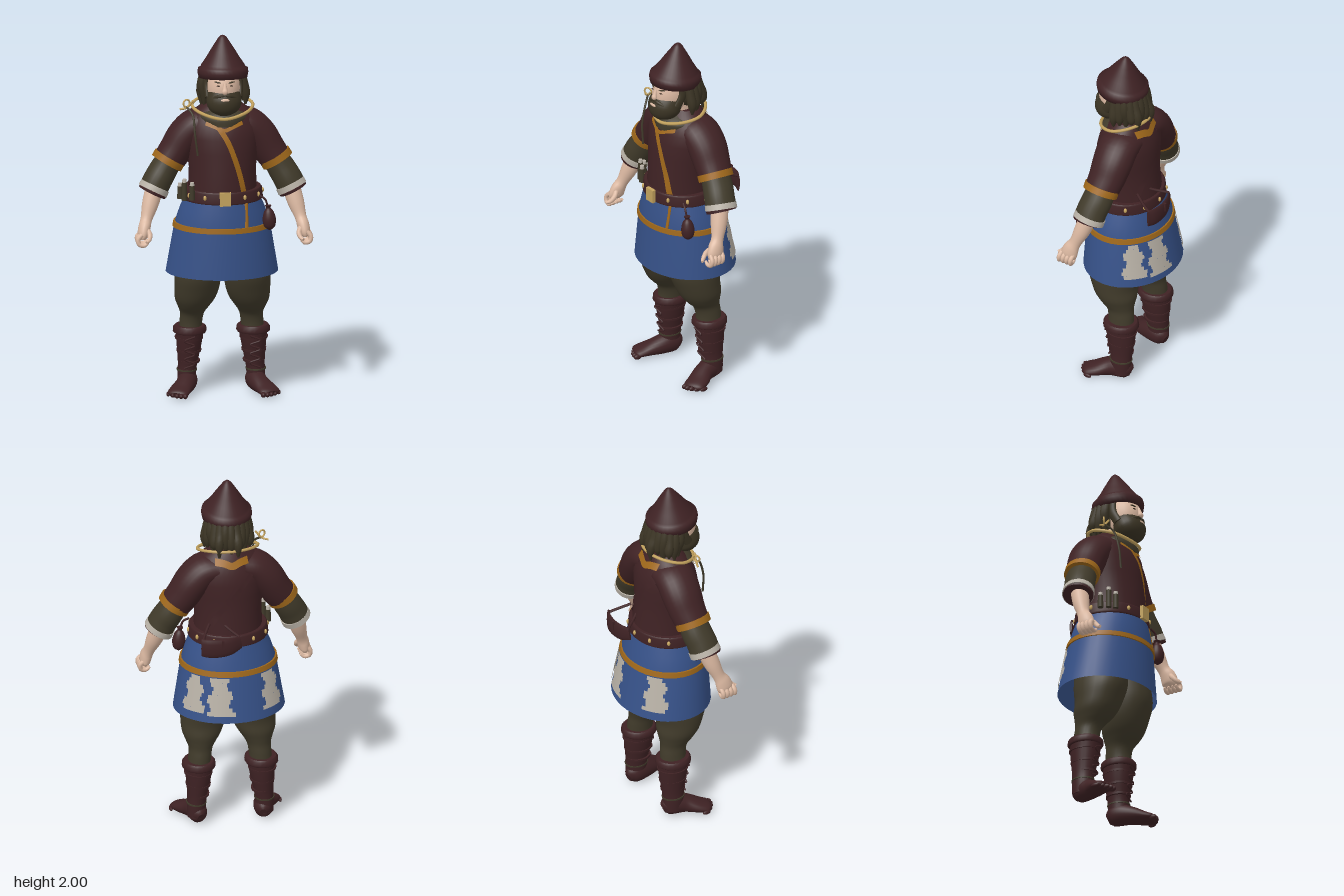
import * as THREE from 'three';

const mat = (name, color, side = THREE.FrontSide) => Object.assign(new THREE.MeshStandardMaterial({ color, side }), { name });
const V = (x, y, z) => new THREE.Vector3(x, y, z);
const UP = V(0, 1, 0), FWD = V(0, 0, 1);

// Sweeps ellipses along a path; each section is [x, y, z, ru, rv]. With level, the rings stay horizontal.
function loft(sections, { steps = 4, seg = 24, ref = FWD, caps = true, level = false } = {}) {
  const centre = new THREE.CatmullRomCurve3(sections.map(s => V(s[0], s[1], s[2])), false, 'catmullrom');
  const radius = new THREE.CatmullRomCurve3(sections.map(s => V(s[3], s[4] ?? s[3], 0)), false, 'catmullrom');
  const n = (sections.length - 1) * steps, pos = [], idx = [];
  const C = [], R = [];
  for (let i = 0; i <= n; i++) { C.push(centre.getPoint(i / n)); R.push(radius.getPoint(i / n)); }
  for (let i = 0; i <= n; i++) {
    const t = C[Math.min(i + 1, n)].clone().sub(C[Math.max(i - 1, 0)]).normalize();
    if (level) t.set(0, Math.sign(t.y), 0);
    const u = t.clone().cross(ref).normalize(), v = u.clone().cross(t);
    for (let j = 0; j < seg; j++) {
      const a = j / seg * Math.PI * 2;
      const p = C[i].clone().addScaledVector(u, Math.cos(a) * R[i].x).addScaledVector(v, Math.sin(a) * R[i].y);
      pos.push(p.x, p.y, p.z);
      if (i < n) {
        const k = i * seg, j2 = (j + 1) % seg;
        idx.push(k + j, k + seg + j, k + j2, k + j2, k + seg + j, k + seg + j2);
      }
    }
  }
  if (caps) for (const [i, flip] of [[0, false], [n, true]]) {
    const base = pos.length / 3;
    pos.push(C[i].x, C[i].y, C[i].z);
    for (let j = 0; j < seg; j++) pos.push(...pos.slice((i * seg + j) * 3, (i * seg + j) * 3 + 3));
    for (let j = 0; j < seg; j++) {
      const a = base + 1 + j, b = base + 1 + (j + 1) % seg;
      idx.push(base, flip ? b : a, flip ? a : b);
    }
  }
  return surface(pos, idx);
}
function surface(pos, idx) {
  const g = new THREE.BufferGeometry();
  g.setAttribute('position', new THREE.Float32BufferAttribute(pos, 3));
  g.setIndex(idx);
  g.computeVertexNormals();
  return g;
}
const tube = (pts, r, closed = false) =>
  new THREE.TubeGeometry(new THREE.CatmullRomCurve3(pts.map(p => V(...p)), closed), pts.length * 6, r, 6, closed);

const TORSO = [[0, 1.1, .03, .185, .18], [0, 1.18, .032, .185, .178], [0, 1.27, .034, .182, .168], [0, 1.36, .032, .195, .164],
  [0, 1.44, .028, .205, .16], [0, 1.5, .026, .205, .147], [0, 1.55, .024, .18, .126], [0, 1.59, .022, .14, .103], [0, 1.62, .02, .1, .08]];
// Depth of the tunic at a given x and y, on its front (1) or back (-1).
function tunicZ(x, y, side) {
  const i = Math.max(0, Math.min(TORSO.length - 2, TORSO.findIndex(s => s[1] > y) - 1));
  const f = (y - TORSO[i][1]) / (TORSO[i + 1][1] - TORSO[i][1]);
  const [zc, rx, rz] = [2, 3, 4].map(k => TORSO[i][k] + (TORSO[i + 1][k] - TORSO[i][k]) * f);
  return zc + side * (rz * Math.sqrt(Math.max(0, 1 - (x / rx) ** 2)) + .007);
}
// Flat ribbon laid on the tunic through [x, y] points.
function ribbon(points, w, side) {
  const c = new THREE.CatmullRomCurve3(points.map(p => V(p[0], p[1], 0))), n = 30, pos = [], idx = [];
  for (let i = 0; i <= n; i++) {
    const p = c.getPoint(i / n), t = c.getTangent(i / n);
    for (const k of [-w, w]) {
      const x = p.x - t.y * k, y = p.y + t.x * k;
      pos.push(x, y, tunicZ(x, y, side));
    }
    if (i < n) idx.push(2 * i, 2 * i + 1, 2 * i + 2, 2 * i + 1, 2 * i + 3, 2 * i + 2);
  }
  // Wind the faces so that they look away from the body.
  const dir = Math.sign(points.at(-1)[0] - points[0][0]);
  if (side * dir > 0) idx.reverse();
  return surface(pos, idx);
}
// Ragged patch on the skirt around an angle measured from the back, lifted off the cloth by a small gap.
function patch(angle, half, y0, y1, seed, gap = .007) {
  const pos = [], idx = [], rows = 9, cols = 8, m = cols + 1;
  for (let r = 0; r < rows; r++) {
    const jag = k => Math.sin(r * 1.4 + seed * k) * .22 - r / rows * .35 + .15;
    const a0 = angle - half * (.85 + jag(1.7)), a1 = angle + half * (.85 + jag(3.1));
    for (let e = 0; e < 2; e++) {
      const y = y0 + (y1 - y0) * (r + e) / rows, h = y - .68;
      for (let c = 0; c <= cols; c++) {
        const a = a0 + (a1 - a0) * c / cols;
        pos.push(Math.sin(a) * (.305 + gap - .167 * h), y, .074 * h - Math.cos(a) * (.255 + gap - .122 * h));
      }
    }
    const b = r * 2 * m;
    for (let c = 0; c < cols; c++) idx.push(b + c, b + m + c, b + c + 1, b + c + 1, b + m + c, b + m + c + 1);
  }
  return surface(pos, idx);
}

export function createModel() {
  const D = THREE.DoubleSide, root = new THREE.Group();
  const maroon = mat('maroon', 0x3f2224, D), blue = mat('blue', 0x365188, D), gold = mat('ochre trim', 0x9e671a, D),
    brass = mat('brass', 0xc4a35e), skin = mat('skin', 0xdcb9a2), olive = mat('olive cloth', 0x403a2a, D),
    hair = mat('hair', 0x3b3424), cream = mat('cream', 0xb8b1a6, D), dark = mat('dark', 0x4a382c);
  const add = (name, geo, m, p = [0, 0, 0], s = [1, 1, 1], r = [0, 0, 0]) => {
    const mesh = new THREE.Mesh(geo, m);
    mesh.name = name;
    mesh.position.set(...p); mesh.scale.set(...s); mesh.rotation.set(...r);
    root.add(mesh);
  };
  const ball = new THREE.SphereGeometry(1, 24, 16);

  // Tunic, skirt and trims
  add('tunic', loft(TORSO, { steps: 1, seg: 40, level: true }), maroon);
  const flat = { steps: 1, seg: 36, level: true };
  add('skirt', loft([[0, .68, 0, .305, .255], [0, .95, .02, .26, .222], [0, 1.04, .026, .23, .207], [0, 1.12, .03, .195, .19]], { ...flat, caps: false }), blue);
  add('skirtBand', loft([[0, .936, .019, .27, .232], [0, .964, .021, .265, .227]], flat), gold);
  add('skirtStrip', loft([[.115, .95, .217, .013, .006], [.112, 1.1, .19, .013, .006]], { steps: 1, seg: 8 }), gold);
  [[.32, .24, .72, .93, 1], [.88, .23, .73, .93, 4], [-.78, .25, .73, .93, 7]].forEach(p => add('skirtPatch', patch(...p), cream));
  add('liningPatch', patch(-2.25, .4, .685, .84, 2, -.008), cream);
  add('chestStrip', ribbon([[-.03, 1.51], [.015, 1.44], [.055, 1.34], [.085, 1.24], [.105, 1.15]], .014, 1), gold);
  add('backStrap', ribbon([[-.12, 1.52], [-.02, 1.4], [.08, 1.28], [.14, 1.17]], .014, -1), maroon);
  add('collarTrim', ribbon([[-.1, 1.532], [-.05, 1.515], [0, 1.497], [.05, 1.515], [.1, 1.532]], .01, 1), gold);
  add('backCollarTrim', ribbon([[-.09, 1.575], [-.045, 1.57], [0, 1.555], [.045, 1.57], [.09, 1.575]], .018, -1), gold);
  add('scarf', loft([[0, 1.515, .052, .12, .125], [0, 1.55, .048, .142, .126], [0, 1.575, .046, .13, .115], [0, 1.6, .045, .088, .083]], { level: true }), olive);
  add('neckRing', tube([[0, 1.635, -.09], [.11, 1.63, -.055], [.165, 1.61, .03], [.125, 1.585, .125], [0, 1.56, .178],
    [-.125, 1.585, .125], [-.165, 1.61, .03], [-.11, 1.63, -.055]], .009, true), brass);

  // Belt with buckle, studs, pouch, vials and rear sheath
  add('belt', loft([[0, 1.092, .03, .215, .195], [0, 1.1, .03, .22, .2], [0, 1.15, .03, .214, .195], [0, 1.158, .03, .208, .19]], { steps: 1, seg: 40 }), maroon);
  add('buckle', new THREE.BoxGeometry(.06, .075, .02), brass, [0, 1.128, .235]);
  for (let i = 1; i < 12; i++) {
    const a = i / 12 * Math.PI * 2;
    add('beltStud', ball, brass, [Math.sin(a) * .217, 1.128, .03 + Math.cos(a) * .198], [.009, .014, .009]);
  }
  add('pouch', loft([[.245, .94, .17, .008], [.245, .96, .17, .03], [.243, 1.0, .17, .036], [.24, 1.04, .17, .026], [.238, 1.06, .17, .012], [.237, 1.075, .17, .018]]), maroon);
  add('pouchCord', tube([[.19, 1.13, .16], [.22, 1.11, .17], [.237, 1.06, .17]], .006), maroon);
  [[-.175, .16, 1.15, .04], [-.215, .14, 1.155, .05], [-.235, .1, 1.14, .035]].forEach(([x, z, y, h]) => {
    add('vial', new THREE.CylinderGeometry(.014, .016, h * 2, 12), olive, [x, y, z]);
    add('vialCap', new THREE.CylinderGeometry(.011, .013, .02, 12), cream, [x, y + h + .008, z]);
  });
  add('rearSheath', loft([[-.025, 1.15, -.215, .007, .038], [.03, 1.14, -.236, .011, .05], [.09, 1.135, -.243, .012, .054], [.15, 1.135, -.235, .012, .055], [.19, 1.135, -.215, .01, .052]], { ref: UP, seg: 12 }), maroon);
  add('sheathKnob', new THREE.BoxGeometry(.012, .05, .02), maroon, [.08, 1.16, -.25]);
  add('sheathStrap', tube([[-.015, 1.185, -.218], [.02, 1.2, -.165], [.055, 1.22, -.115]], .008), maroon);
  add('sheathStrap', tube([[.182, 1.175, -.215], [.16, 1.195, -.165], [.13, 1.22, -.11]], .008), maroon);

  // Shoulder clasp with hanging cord
  add('shoulderClasp', new THREE.TorusGeometry(.02, .005, 8, 20), brass, [-.2, 1.635, .1], [1, 1, 1], [0, .5, 0]);
  add('claspPin', tube([[-.235, 1.6, .09], [-.2, 1.61, .1], [-.165, 1.65, .11]], .006), brass);
  add('hangingCord', tube([[-.2, 1.615, .1], [-.17, 1.58, .14], [-.16, 1.48, .17], [-.145, 1.36, .175]], .006), olive);

  // Head, beard and hair
  add('neck', loft([[0, 1.55, .03, .07], [0, 1.7, .06, .07]]), skin);
  add('face', ball, skin, [0, 1.72, .1], [.09, .13, .106]);
  add('nose', loft([[0, 1.765, .198, .008], [0, 1.735, .206, .013], [0, 1.718, .212, .017, .014], [0, 1.71, .205, .008]], { seg: 12 }), skin);
  add('beard', loft([[0, 1.578, .165, .025, .03], [0, 1.6, .16, .07, .065], [0, 1.635, .148, .093, .085], [0, 1.665, .132, .094, .086], [0, 1.69, .11, .088, .078]]), hair);
  add('lips', ball, skin, [0, 1.674, .214], [.03, .012, .012]);
  for (const s of [-1, 1]) {
    add('moustache', loft([[s * .002, 1.7, .212, .007], [s * .03, 1.696, .207, .01], [s * .06, 1.68, .188, .009], [s * .07, 1.665, .18, .003]], { seg: 10 }), hair);
    add('eye', ball, dark, [s * .034, 1.75, .193], [.011, .004, .006]);
    add('eyebrow', ball, hair, [s * .036, 1.768, .187], [.021, .004, .008], [0, s * .3, s * .12]);
    add('ear', ball, skin, [s * .09, 1.73, .085], [.012, .03, .02]);
    add('sideburn', loft([[s * .09, 1.79, .085, .014, .025], [s * .093, 1.73, .09, .014, .025], [s * .088, 1.67, .12, .014, .025]]), hair);
  }
  add('hairBase', ball, hair, [0, 1.72, .025], [.1, .11, .105]);
  for (let i = 0; i < 13; i++) {
    const a = (84 + i * 16) * Math.PI / 180, sx = Math.sin(a), cz = Math.cos(a);
    const low = 1.612 + .022 * Math.sin(i * 2.6), flare = .113 + .014 * Math.sin(i * 1.9 + 1);
    add('hairLock', loft([[sx * .095, 1.8, .045 + cz * .09, .026], [sx * .112, 1.73, .04 + cz * .106, .027],
      [sx * flare, 1.67, .035 + cz * flare, .025], [sx * flare, low, .035 + cz * flare, .006]], { seg: 10 }), hair);
  }

  // Conical hat with rolled brim
  const hat = [[.112, -.025], [.132, -.028], [.138, 0], [.135, .022], [.122, .028], [.116, .042], [.09, .08], [.069, .115], [.047, .15], [.023, .187], [.01, .199], [0, .201]];
  add('hat', new THREE.LatheGeometry(hat.map(p => new THREE.Vector2(...p)), 36), maroon, [0, 1.8, .068], [1, 1, 1.05], [-.1, 0, 0]);

  // Arms and legs, mirrored
  for (const s of [1, -1]) {
    const limb = (name, secs, m, o) => add(name, loft(secs.map(([x, ...rest]) => [s * x, ...rest]), o), m);
    limb('upperSleeve', [[.07, 1.515, .01, .075, .115], [.14, 1.495, .008, .09, .115], [.2, 1.435, .005, .095, .112], [.25, 1.358, .01, .09, .103], [.297, 1.29, .02, .085, .094]], maroon);
    limb('sleeveBand', [[.283, 1.318, .018, .09, .1], [.302, 1.286, .021, .09, .099]], gold, { steps: 1 });
    limb('lowerSleeve', [[.28, 1.315, .018, .07, .08], [.32, 1.25, .025, .076, .085], [.35, 1.2, .037, .078, .085], [.372, 1.157, .043, .079, .085]], olive);
    limb('cuff', [[.365, 1.166, .041, .082, .088], [.379, 1.138, .046, .084, .089]], cream, { steps: 1 });
    limb('cuffLining', [[.377, 1.141, .046, .08, .086], [.383, 1.129, .047, .078, .084]], maroon, { steps: 1 });
    limb('forearm', [[.365, 1.17, .045, .05], [.395, 1.07, .075, .045], [.418, .995, .103, .032, .034], [.43, .955, .122, .033, .044], [.438, .915, .133, .03, .048], [.44, .893, .135, .016, .04]], skin);
    for (let i = 0; i < 4; i++) {
      const z = .1 + i * .024;
      limb('finger', [[.447, .925, z, .012], [.468, .9, z + .004, .013], [.462, .872, z + .008, .012], [.435, .866, z + .01, .011], [.415, .882, z + .01, .007]], skin, { seg: 10 });
    }
    limb('thumb', [[.425, .955, .14, .015], [.405, .925, .168, .014], [.41, .9, .192, .012], [.425, .89, .212, .008]], skin, { seg: 10 });

    limb('trouserLeg', [[.095, .92, .02, .1, .15], [.12, .76, .035, .118, .155], [.132, .67, .038, .126, .152], [.139, .59, .03, .121, .132],
      [.148, .53, .014, .108, .12], [.155, .485, 0, .085, .1], [.16, .445, -.018, .066, .078], [.165, .4, -.028, .062, .073], [.17, .34, -.03, .062, .074]], olive, { level: true });
    limb('bootShaft', [[.172, .35, -.032, .078, .09], [.176, .26, -.036, .067, .08], [.183, .16, -.04, .053, .064], [.187, .1, -.04, .051, .061], [.186, .04, -.04, .051, .06]], maroon);
    limb('bootCuff', [[.172, .33, -.032, .086, .094], [.172, .338, -.032, .092, .1], [.173, .36, -.032, .09, .098], [.173, .37, -.032, .08, .09]], maroon, { steps: 1 });
    limb('ankleBand', [[.187, .118, -.04, .055, .065], [.187, .126, -.04, .055, .065]], olive, { steps: 1 });
    for (const [y, r] of [[.3, .076], [.23, .067], [.17, .059]])
      limb('bootStrap', [[.176, y - .006, -.036, r, r + .011], [.176, y + .006, -.036, r + .001, r + .012]], maroon, { steps: 1 });
    const lace = [...Array(8).keys()].map(i => [s * (.178 + (i % 2 ? .028 : -.028)), .32 - i * .026, .054 - i * .004]);
    add('bootLace', tube(lace, .005), maroon);
    limb('foot', [[.172, .045, -.098, .02, .03], [.177, .054, -.075, .044, .052], [.184, .062, -.03, .054, .06], [.2, .052, .03, .054, .05],
      [.232, .036, .09, .06, .034], [.25, .026, .135, .058, .024], [.256, .02, .15, .04, .016]], maroon, { ref: UP });
    for (let i = 0; i < 5; i++)
      add('toe', ball, maroon, [s * (.212 + i * .022), .018, .16 - i * i * .0035], [.014 - i * .001, .016 - i * .001, .024]);
  }
  return root;
}
